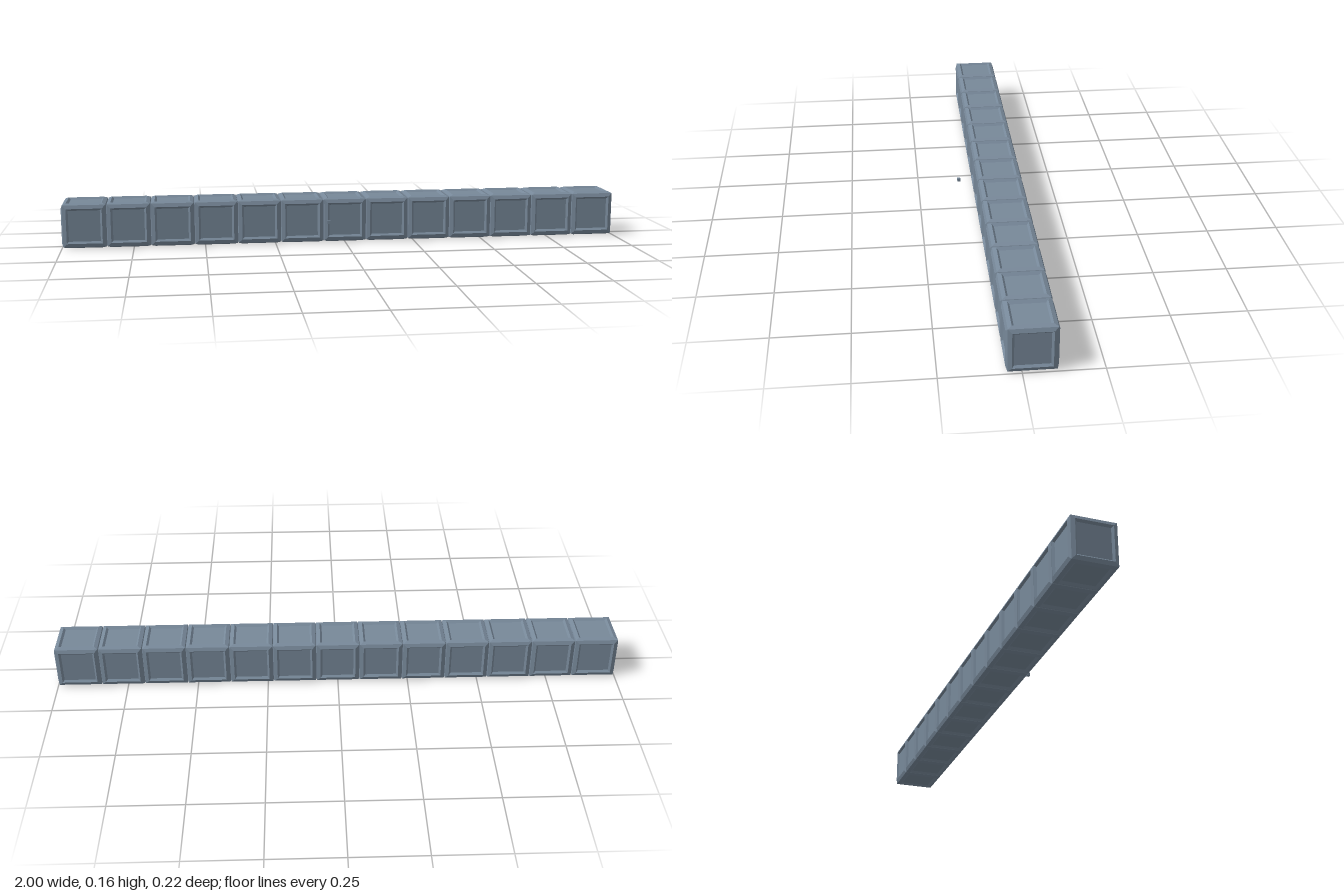
import * as THREE from 'three';

const COUNT = 13;       // blocks in the beam
const SIZE = 0.16;      // full block size across opposite rims
const BEVEL = 0.018;    // width of the sloped border
const DROP = 0.0053;    // how far block edges sit below the rims
const RECESS = 0.007;   // width and depth of the sunken panel's walls

// One block face as nested square loops: edge, raised rim, sunken panel
function blockGeometry() {
  const h = SIZE / 2;
  const loops = [
    [h - DROP, h - DROP],
    [h - BEVEL, h],
    [h - BEVEL - RECESS, h - RECESS],
  ];
  const corners = [[-1, -1], [1, -1], [1, 1], [-1, 1]];
  const point = ([half, depth], i) =>
    new THREE.Vector3(corners[i % 4][0] * half, corners[i % 4][1] * half, depth);

  const face = [];
  const quad = (a, b, c, d) => face.push(a, b, c, a, c, d);
  for (let l = 0; l < loops.length - 1; l++)
    for (let i = 0; i < 4; i++)
      quad(point(loops[l], i), point(loops[l], i + 1), point(loops[l + 1], i + 1), point(loops[l + 1], i));
  const inner = loops[loops.length - 1];
  quad(point(inner, 0), point(inner, 1), point(inner, 2), point(inner, 3));

  // Turn the face to all six sides
  const q = Math.PI / 2;
  const turns = [[0, 0], [0, q], [0, 2 * q], [0, -q], [q, 0], [-q, 0]];
  const points = turns.flatMap(([rx, ry]) => {
    const turn = new THREE.Euler(rx, ry, 0);
    return face.map((p) => p.clone().applyEuler(turn));
  });
  const geometry = new THREE.BufferGeometry().setFromPoints(points);
  geometry.computeVertexNormals();
  return geometry;
}

export function createModel() {
  const model = new THREE.Group();
  model.name = 'blockBeam';
  const slate = new THREE.MeshStandardMaterial({ color: 0x778899, flatShading: true });
  slate.name = 'slate blue grey';

  // Row of panelled blocks
  const row = new THREE.Group();
  row.name = 'blockRow';
  row.position.set(0, SIZE / 2, -0.031);
  const geometry = blockGeometry();
  const pitch = (2 - SIZE) / (COUNT - 1);
  for (let i = 0; i < COUNT; i++) {
    const block = new THREE.Mesh(geometry, slate);
    block.name = `block${i + 1}`;
    block.position.x = (i - (COUNT - 1) / 2) * pitch;
    row.add(block);
  }
  model.add(row);

  // Small loose cube in front of the beam
  const cube = new THREE.Mesh(new THREE.BoxGeometry(0.011, 0.011, 0.011), slate);
  cube.name = 'smallCube';
  cube.position.set(-0.065, 0.084, 0.1055);
  model.add(cube);
  return model;
}
